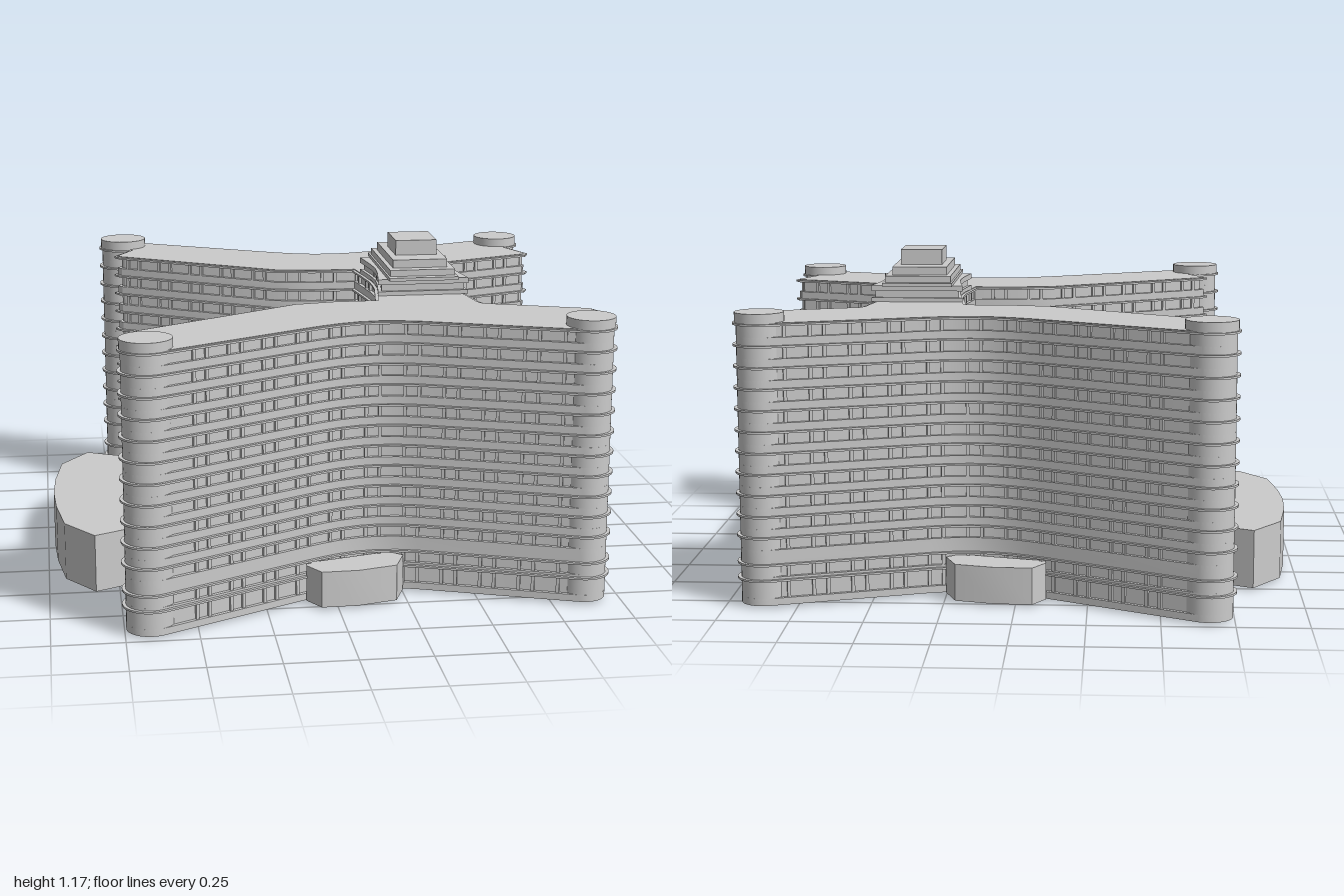
import * as THREE from 'three';
import { toCreasedNormals } from 'three/addons/utils/BufferGeometryUtils.js';

const grey = new THREE.MeshStandardMaterial({ color: 0xcccccc });
const BASE = 0.01, ROOF = 0.99;
const TOWERS = [
  { x: -0.66, z: 0.9, r: 0.085, from: -73, to: -298 },
  { x: 0.87, z: 0.77, r: 0.08, from: 112, to: -70 },
];

// Plan points along a tower's round wall
function towerArc({ x, z, r, from, to }) {
  const pts = [];
  for (let i = 0; i <= 20; i++) {
    const a = THREE.MathUtils.degToRad(from + (to - from) * i / 20);
    pts.push([x + r * Math.cos(a), z + r * Math.sin(a)]);
  }
  return pts;
}

// Complete a half plan by mirroring it across the long axis
function mirrorPlan(half) {
  const back = half.filter(p => p[1] !== 0).reverse().map(([x, y]) => [x, -y]);
  return [...half, ...back];
}

// Move a clockwise outline outwards by d (mitred corners)
function offset(pts, d) {
  const n = pts.length;
  const normal = (a, b) => new THREE.Vector2(a[1] - b[1], b[0] - a[0]).normalize();
  return pts.map((p, i) => {
    const n1 = normal(pts[(i + n - 1) % n], p), n2 = normal(p, pts[(i + 1) % n]);
    const k = d / Math.max(0.5, 1 + n1.dot(n2));
    return [p[0] + (n1.x + n2.x) * k, p[1] + (n1.y + n2.y) * k];
  });
}

// Upright prism over a plan outline
function prism(name, pts, y0, y1) {
  const shape = new THREE.Shape(pts.map(p => new THREE.Vector2(p[0], p[1])));
  const geo = new THREE.ExtrudeGeometry(shape, { depth: y1 - y0, bevelEnabled: false });
  geo.rotateX(-Math.PI / 2).translate(0, y0, 0);
  const mesh = new THREE.Mesh(toCreasedNormals(geo, 0.4), grey);
  mesh.name = name;
  return mesh;
}

function box(name, x0, x1, y0, y1, z0, z1) {
  const mesh = new THREE.Mesh(new THREE.BoxGeometry(x1 - x0, y1 - y0, z1 - z0), grey);
  mesh.position.set((x0 + x1) / 2, (y0 + y1) / 2, (z0 + z1) / 2);
  mesh.name = name;
  return mesh;
}

const PLAN = mirrorPlan([
  [0.245, 0], [0.243, 0.07], [0.228, 0.18], [0.212, 0.29],
  [0.05, 0.292], [-0.095, 0.318], [-0.675, 0.663], [-0.69, 0.69], [-0.625, 0.8],
  ...towerArc(TOWERS[0]),
  [-0.1, 0.7], [-0.04, 0.67], [0.02, 0.645], [0.09, 0.626], [0.16, 0.62], [0.23, 0.627], [0.3, 0.645],
  ...towerArc(TOWERS[1]),
  [0.885, 0.675], [0.942, 0.54], [0.93, 0.515],
  [0.575, 0.385], [0.56, 0.355], [0.535, 0.2], [0.52, 0.08], [0.515, 0],
]);

// Floors: recessed window strips between wall bands, with a thin ledge over each strip
function buildFloors() {
  const group = new THREE.Group();
  group.name = 'floors';
  const windows = [[0.035, 0.095], [0.11, 0.15]];
  for (let i = 0; i < 11; i++) {
    const top = 0.245 + i * 0.0735;
    windows.push([top - 0.039, top]);
  }
  const ledge = offset(PLAN, 0.012);
  let y = BASE;
  for (const [bottom, top] of windows) {
    group.add(prism('wallBand', PLAN, y, bottom));
    group.add(prism('ledge', ledge, top, top + 0.007));
    y = top;
  }
  group.add(prism('parapet', PLAN, y, ROOF));
  return group;
}

// Window posts in an alternating wide and narrow rhythm along the straight walls
function buildPosts(core) {
  const group = new THREE.Group();
  group.name = 'windowPosts';
  const geo = new THREE.BoxGeometry(0.012, ROOF - BASE - 0.02, 0.018);
  let next = 0.03, walked = 0, wide = false;
  core.forEach((a, i) => {
    const b = core[(i + 1) % core.length];
    const dx = b[0] - a[0], dy = b[1] - a[1], len = Math.hypot(dx, dy);
    for (; next < walked + len; next += (wide = !wide) ? 0.088 : 0.05) {
      const t = (next - walked) / len, x = a[0] + dx * t, y = a[1] + dy * t;
      if (TOWERS.some(w => Math.hypot(x - w.x, Math.abs(y) - w.z) < w.r + 0.01)) continue;
      const post = new THREE.Mesh(geo, grey);
      post.name = 'windowPost';
      post.position.set(x, (BASE + ROOF) / 2, -y);
      post.rotation.y = Math.atan2(dy, dx);
      group.add(post);
    }
    walked += len;
  });
  return group;
}

// Stepped rooftop pavilion
function buildPavilion() {
  const group = new THREE.Group();
  group.name = 'roofPavilion';
  const plan = mirrorPlan([[0.245, 0], [0.24, 0.08], [0.222, 0.215], [0.556, 0.215], [0.535, 0.08], [0.53, 0]]);
  group.add(prism('pavilionSill', plan, ROOF, 1.005));
  group.add(prism('pavilionWall', offset(plan, -0.012), 1.005, 1.035));
  group.add(prism('pavilionTop', plan, 1.03, 1.05));
  for (let i = 0; i <= 6; i++) {
    const z = -0.195 + i * 0.065;
    group.add(box('pavilionPost', 0.25, 0.53, 1.0, 1.035, z - 0.006, z + 0.006));
  }
  const tiers = [
    [0.258, 0.512, 1.05, 1.062, 0.253], [0.265, 0.505, 1.06, 1.085, 0.222],
    [0.282, 0.482, 1.08, 1.115, 0.182], [0.307, 0.46, 1.11, 1.17, 0.09],
  ];
  for (const [x0, x1, y0, y1, w] of tiers) group.add(box('pavilionTier', x0, x1, y0, y1, -w, w));
  return group;
}

// Entrance porch with posts and a curved forecourt slab
function buildEntrance() {
  const group = new THREE.Group();
  group.name = 'entrance';
  group.add(prism('forecourt', mirrorPlan([
    [0.5, 0], [0.5, 0.255], [0.697, 0.255], [0.68, 0.17], [0.67, 0.08], [0.667, 0],
  ]), 0, 0.012));
  group.add(box('porchRoof', 0.5, 0.64, 0.168, 0.19, -0.215, 0.215));
  group.add(box('porchBeam', 0.5, 0.63, 0.155, 0.168, -0.205, 0.205));
  for (const z of [-0.195, -0.085, -0.06, 0.06, 0.085, 0.195]) {
    group.add(box('porchPost', 0.605, 0.622, 0.01, 0.16, z - 0.008, z + 0.008));
  }
  return group;
}

export function createModel() {
  const model = new THREE.Group();
  model.name = 'building';

  const core = offset(PLAN, -0.014);
  model.add(prism('windowCore', core, BASE + 0.005, ROOF - 0.005));
  model.add(buildFloors(), buildPosts(core));

  // Round stair towers with caps, and low side annexes
  for (const s of [1, -1]) {
    for (const { x, z, r } of TOWERS) {
      const tower = new THREE.Mesh(new THREE.CylinderGeometry(r, r, ROOF - BASE, 32), grey);
      tower.position.set(x, (BASE + ROOF) / 2, s * z);
      tower.name = 'stairTower';
      const cap = new THREE.Mesh(new THREE.CylinderGeometry(r + 0.005, r + 0.005, 0.035, 32), grey);
      cap.position.set(x, 1.004, s * z);
      cap.name = 'towerCap';
      model.add(tower, cap);
    }
    const annex = [[-0.1, 0.68], [-0.105, 0.71], [-0.06, 0.785], [0.07, 0.782], [0.21, 0.745], [0.25, 0.64], [0.2, 0.6]];
    model.add(prism('sideAnnex', annex.map(([x, y]) => [x, s * y]), BASE, 0.14));
  }

  // Fan-shaped hall
  model.add(prism('hall', mirrorPlan([
    [-0.975, 0], [-0.967, 0.17], [-0.94, 0.375], [-0.835, 0.525],
    [-0.262, 0.237], [-0.242, 0.222], [-0.235, 0.2],
  ]), BASE, 0.22));

  model.add(buildPavilion(), buildEntrance());
  return model;
}
